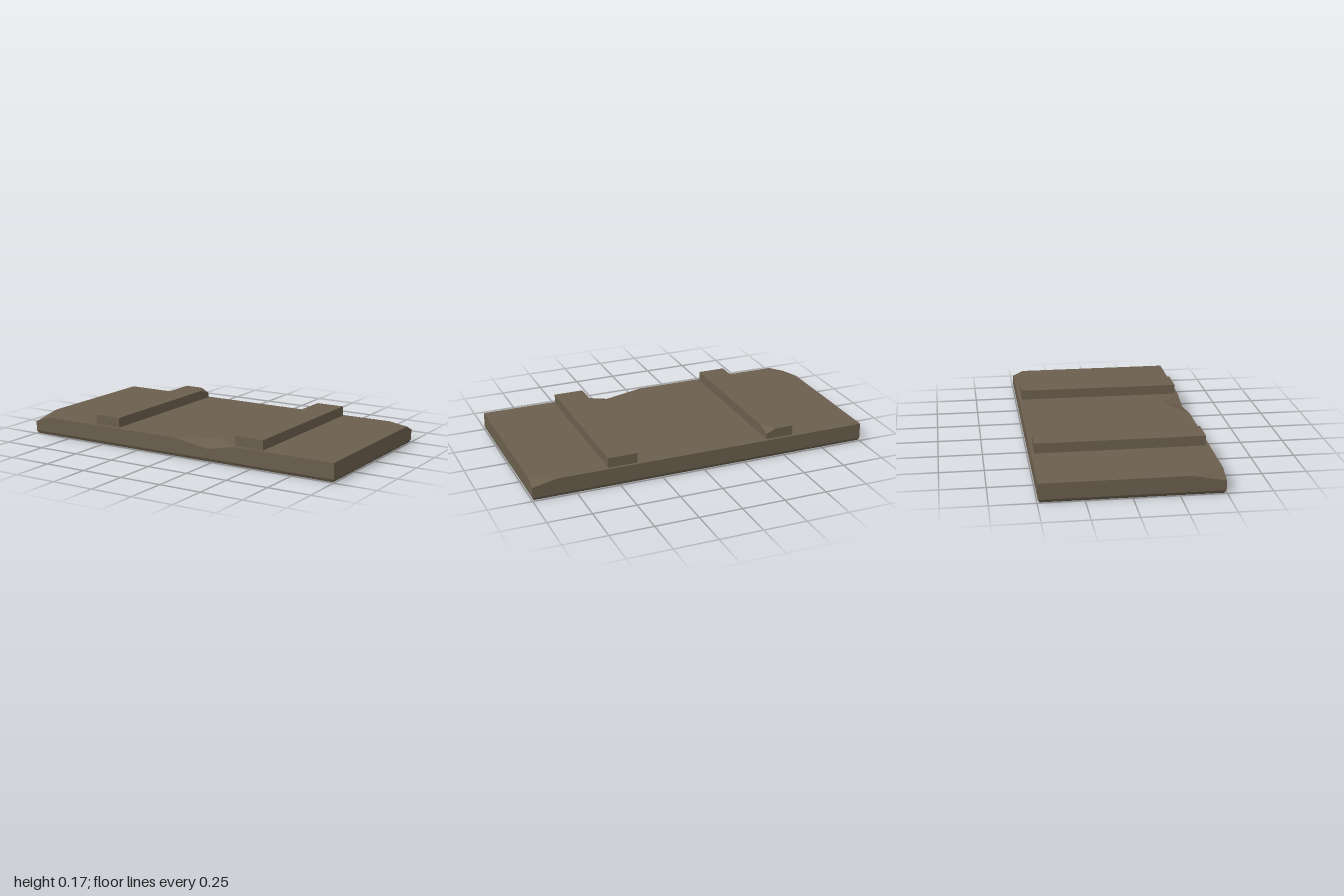
import * as THREE from 'three';

// Block with a flat top. The rim runs counter-clockwise seen from above.
// A rim point with a drop is chipped; its optional inner point cuts into the top.
function chippedBlock(rim, bottom, top, bevel = 0, inset = 0) {
  const pos = [];
  const tri = (...points) => points.forEach((p) => pos.push(p.x, p.y, p.z));
  const quad = (a, b, c, d) => { tri(a, b, c); tri(a, c, d); };
  const cap = (points, flip) => {
    const flat = points.map((p) => new THREE.Vector2(p.x, -p.z));
    for (const [a, b, c] of THREE.ShapeUtils.triangulateShape(flat, [])) {
      if (flip) tri(points[a], points[c], points[b]);
      else tri(points[a], points[b], points[c]);
    }
  };

  const high = rim.map((p) => new THREE.Vector3(p.x, top - (p.drop || 0), p.z));
  const low = rim.map((p) => new THREE.Vector3(p.x, bottom + bevel, p.z));
  const base = rim.map((p) => new THREE.Vector3(
    p.x - inset * Math.sign(p.x) * (Math.abs(p.x) > 0.99 ? 1 : 0), bottom,
    p.z - inset * Math.sign(p.z) * (Math.abs(p.z) > 0.49 ? 1 : 0)));

  const flatTop = [];
  rim.forEach((p, i) => {
    const j = (i + 1) % rim.length;
    const prev = high[(i + rim.length - 1) % rim.length];
    quad(low[i], low[j], high[j], high[i]);
    if (bevel) quad(base[i], base[j], low[j], low[i]);
    if (!p.drop) flatTop.push(high[i]);
    else if (p.inner) {
      const inner = new THREE.Vector3(p.inner[0], top, p.inner[1]);
      tri(prev, high[i], inner);
      tri(high[i], high[j], inner);
      flatTop.push(inner);
    } else tri(prev, high[i], high[j]);
  });
  cap(flatTop, false);
  cap(base, true);

  const geometry = new THREE.BufferGeometry();
  geometry.setAttribute('position', new THREE.Float32BufferAttribute(pos, 3));
  geometry.computeVertexNormals();
  return geometry;
}

export function createModel() {
  const group = new THREE.Group();
  const wood = new THREE.MeshStandardMaterial({ color: 0x6b5f4d });
  wood.name = 'weatheredWood';
  const add = (name, geometry) => {
    const mesh = new THREE.Mesh(geometry, wood);
    mesh.name = name;
    group.add(mesh);
  };

  // Board with two chipped corners and a dent in the front edge
  const Z = 0.496;
  add('board', chippedBlock([
    { x: -1, z: Z, drop: 0.035 },
    { x: -0.9, z: Z },
    { x: 0, z: Z },
    { x: 0.22, z: Z, drop: 0.035, inner: [0.22, 0.37] },
    { x: 0.39, z: Z },
    { x: 1, z: Z },
    { x: 1, z: -0.43 },
    { x: 1, z: -Z, drop: 0.03 },
    { x: 0.86, z: -Z },
    { x: -1, z: -Z },
    { x: -1, z: 0.31 },
  ], 0, 0.108, 0.018, 0.01));

  // Cross battens; the first has a chipped inner back corner
  add('rightBatten', chippedBlock([
    { x: -0.56, z: 0.475 },
    { x: -0.397, z: 0.475 },
    { x: -0.397, z: -0.39 },
    { x: -0.397, z: -0.478, drop: 0.025 },
    { x: -0.45, z: -0.478 },
    { x: -0.56, z: -0.478 },
  ], 0.1, 0.165));
  add('leftBatten', chippedBlock([
    { x: 0.385, z: 0.475 },
    { x: 0.562, z: 0.475 },
    { x: 0.562, z: -0.478 },
    { x: 0.392, z: -0.478 },
    { x: 0.39, z: -0.38 },
  ], 0.1, 0.165));

  return group;
}
